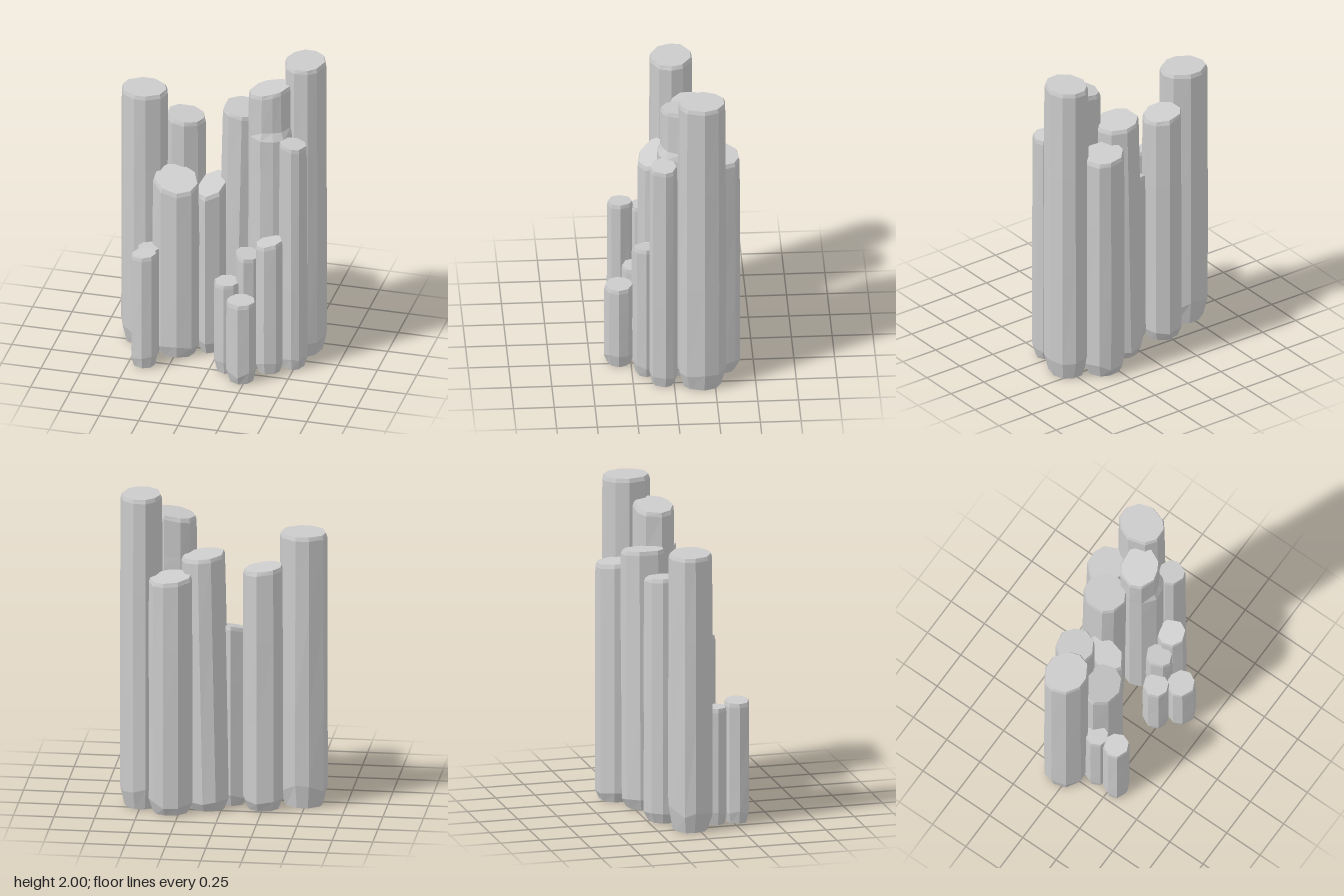
import * as THREE from 'three';

const material = new THREE.MeshStandardMaterial({ color: 0xcccccc, flatShading: true });

// Small repeatable random source for the uneven rock faces
function seeded(seed) {
  let s = seed * 7919 + 17;
  return () => (s = (s * 16807) % 2147483647) / 2147483647;
}

// One faceted stone column: stacked rings with a bevelled foot and a sloping broken top.
// chip = { angle, y, depth } breaks one side away above height y.
function column({ x, z, rx, rz, h, sides = 9, slope = [0, 0], flare = [0, 0], foot = 0.05, chip }, seed) {
  const rand = seeded(seed);
  for (let i = 0; i < 5; i++) rand();
  const angles = [], radii = [];
  for (let i = 0; i < sides; i++) {
    angles.push(((i + (rand() - 0.5) * 0.35) / sides) * Math.PI * 2);
    radii.push(1.02 + (rand() - 0.5) * 0.05);
  }
  // [height, radius scale, share of the top slope]
  const rings = [[0, 0.8, 0], [foot, 1, 0], [h * 0.36, 1, 0], [h * 0.7, 0.995, 0]];
  if (chip) rings.push([chip.y, 0.99, 0], [chip.y + 0.05, 0.985, 0]);
  rings.push([h - 0.025, 0.98, 1], [h, 0.92, 1]);

  const pos = [], index = [];
  rings.forEach(([y, scale, tilt], j) => {
    const wide = 1 - y / h;
    for (let i = 0; i < sides; i++) {
      const a = angles[i];
      let r = radii[i] * scale * (1 + (rand() - 0.5) * 0.03);
      if (chip && y > chip.y) r *= 1 - chip.depth * Math.max(0, Math.cos(a - chip.angle));
      const px = Math.cos(a) * rx * r, pz = Math.sin(a) * rz * r;
      const wobble = j === 1 ? rand() * foot * 0.7 : 0;
      pos.push(
        x + px + flare[0] * wide,
        y + wobble + tilt * (px * slope[0] + pz * slope[1]),
        z + pz + flare[1] * wide
      );
    }
  });
  for (let j = 0; j < rings.length - 1; j++) {
    for (let i = 0; i < sides; i++) {
      const k = (i + 1) % sides;
      const a = j * sides + i, b = j * sides + k;
      index.push(a, a + sides, b, b, a + sides, b + sides);
    }
  }
  // Caps
  const bottom = pos.length / 3, top = bottom + 1, last = (rings.length - 1) * sides;
  pos.push(x + flare[0], 0, z + flare[1], x, h, z);
  for (let i = 0; i < sides; i++) {
    const k = (i + 1) % sides;
    index.push(bottom, i, k, top, last + k, last + i);
  }
  const geo = new THREE.BufferGeometry();
  geo.setAttribute('position', new THREE.Float32BufferAttribute(pos, 3));
  geo.setIndex(index);
  geo.computeVertexNormals();
  return new THREE.Mesh(geo, material);
}

export function createModel() {
  const group = new THREE.Group();
  group.name = 'stoneColumns';

  const columns = {
    // Right-hand cluster
    rightTallColumn: { x: -0.485, z: -0.04, rx: 0.148, rz: 0.134, h: 1.75, sides: 10, foot: 0.09 },
    rightBackColumn: { x: -0.25, z: -0.14, rx: 0.124, rz: 0.124, h: 1.545, slope: [-0.12, 0] },
    rightFrontColumn: { x: -0.255, z: 0.07, rx: 0.142, rz: 0.112, h: 1.2, slope: [-0.12, -0.45] },
    rightSmallFrontColumn: { x: -0.405, z: 0.28, rx: 0.08, rz: 0.08, h: 0.77, sides: 8, slope: [0.1, 0] },
    rightSmallBackColumn: { x: -0.41, z: 0.14, rx: 0.072, rz: 0.075, h: 0.74, sides: 8 },
    // Low link in the middle
    middleColumn: { x: -0.06, z: -0.05, rx: 0.088, rz: 0.135, h: 1.13, sides: 8, slope: [0.15, -0.25] },
    // Left-hand cluster
    leftInnerColumn: { x: 0.115, z: -0.17, rx: 0.138, rz: 0.138, h: 1.625, slope: [-0.12, 0], flare: [-0.03, 0] },
    leftBackColumn: { x: 0.305, z: -0.29, rx: 0.136, rz: 0.125, h: 1.51, slope: [-0.08, 0.08] },
    leftMiddleColumn: {
      x: 0.315, z: -0.04, rx: 0.136, rz: 0.132, h: 1.85, sides: 10, slope: [0.2, 0],
      chip: { angle: 0.9, y: 1.54, depth: 0.2 },
    },
    leftTallColumn: { x: 0.502, z: -0.17, rx: 0.129, rz: 0.15, h: 2, sides: 10, foot: 0.09 },
    leftOuterColumn: { x: 0.483, z: 0.065, rx: 0.084, rz: 0.086, h: 1.54, sides: 8, slope: [-0.12, 0] },
    // Short front steps
    stepHighColumn: { x: 0.355, z: 0.155, rx: 0.088, rz: 0.088, h: 0.89, sides: 8, slope: [0.25, 0] },
    stepMiddleColumn: { x: 0.22, z: 0.155, rx: 0.078, rz: 0.088, h: 0.79, sides: 8, slope: [-0.15, 0] },
    stepLowColumn: { x: 0.105, z: 0.215, rx: 0.08, rz: 0.083, h: 0.615, sides: 8 },
    stepFrontColumn: { x: 0.22, z: 0.32, rx: 0.092, rz: 0.09, h: 0.55, sides: 8 },
  };
  Object.entries(columns).forEach(([name, spec], i) => {
    const mesh = column(spec, i + 1);
    mesh.name = name;
    group.add(mesh);
  });
  return group;
}
